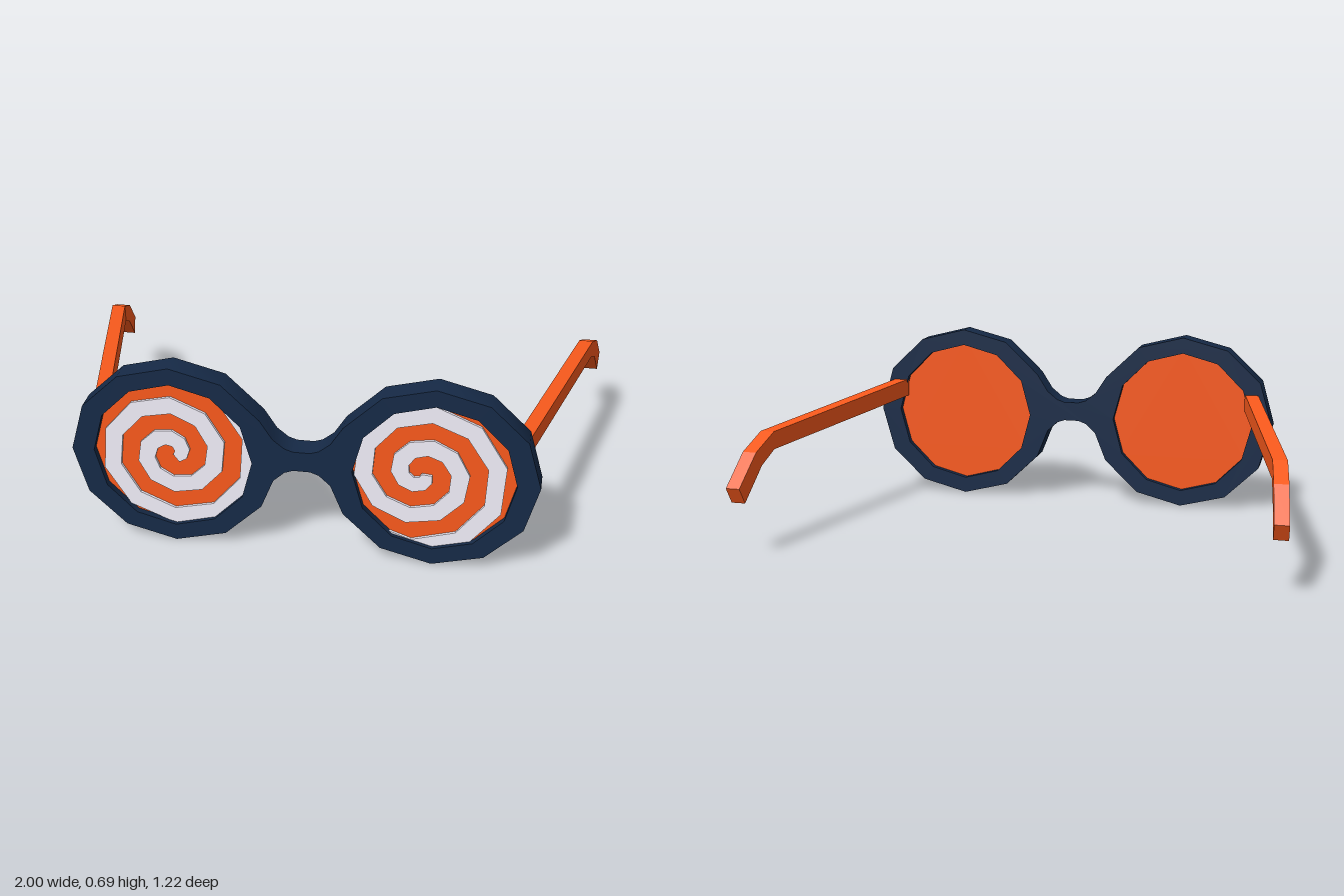
import * as THREE from 'three';
import { toCreasedNormals } from 'three/addons/utils/BufferGeometryUtils.js';

const LENS = { x: 0.457, y: 0.347 };

// points of a 12-sided ring, from angle a0 going clockwise
function ring(cx, rx, ry, a0, count) {
  return Array.from({ length: count }, (_, i) => {
    const a = (a0 - i * 30) * Math.PI / 180;
    return new THREE.Vector2(cx + rx * Math.cos(a), LENS.y + ry * Math.sin(a));
  });
}

function extrude(shape, depth, z) {
  const g = new THREE.ExtrudeGeometry(shape, { depth, bevelEnabled: false });
  return g.translate(0, 0, z);
}

// both rims and the bridge as one plate with two holes
function frameGeometry() {
  const V = (x, y) => new THREE.Vector2(x, y);
  const half = [V(0.03, 0.408), V(0.06, 0.418), V(0.1, 0.45), ...ring(LENS.x, 0.361, 0.345, 150, 11),
    V(0.1, 0.285), V(0.06, 0.322), V(0.03, 0.333)];
  const other = half.map((p) => V(-p.x, p.y)).reverse();
  const shape = new THREE.Shape([...half, ...other]);
  for (const s of [1, -1]) {
    shape.holes.push(new THREE.Path(ring(s * LENS.x, 0.282, 0.282, 0, 12).reverse()));
  }
  return toCreasedNormals(extrude(shape, 0.085, 0.525), 0.7);
}

// flat spiral band that runs outward until it tucks into the rim
function spiralGeometry(lensX, cx, cy, start, dir, turns) {
  const inner = [], outer = [], perTurn = 10, w = 0.032;
  const from = -0.15, n = Math.round((turns - from) * perTurn);
  for (let i = 0; i <= n; i++) {
    const t = from + (turns - from) * i / n;
    const r = 0.027 + 0.131 * t;
    const a = start + dir * t * Math.PI * 2;
    for (const [list, rad] of [[inner, Math.max(r - w, 0.004)], [outer, r + w]]) {
      const p = new THREE.Vector2(cx + rad * Math.cos(a) - lensX, cy + rad * Math.sin(a) - LENS.y);
      p.clampLength(0, 0.315);
      list.push(p.add(new THREE.Vector2(lensX, LENS.y)));
    }
  }
  return extrude(new THREE.Shape([...inner, ...outer.reverse()]), 0.015, 0.58);
}

// side arm swept through four-cornered cross-sections
function armGeometry(side) {
  // z and y of the top edge, then of the bottom edge
  const stations = [
    [0.54, 0.473, 0.54, 0.404],
    [-0.375, 0.424, -0.375, 0.358],
    [-0.495, 0.37, -0.46, 0.315],
    [-0.61, 0.26, -0.577, 0.2],
  ];
  const innerX = (z) => z > -0.38
    ? THREE.MathUtils.mapLinear(z, 0.525, -0.38, 0.71, 0.914)
    : THREE.MathUtils.mapLinear(z, -0.38, -0.61, 0.914, 0.948);
  const sections = stations.map(([zt, yt, zb, yb]) => [
    [innerX(zt), yt, zt], [innerX(zt) + 0.052, yt, zt],
    [innerX(zb) + 0.052, yb, zb], [innerX(zb), yb, zb],
  ].map(([x, y, z]) => [side * x, y, z]));
  const pos = [];
  const quad = (a, b, c, d) => {
    const tris = side > 0 ? [a, b, c, a, c, d] : [a, c, b, a, d, c];
    tris.forEach((p) => pos.push(...p));
  };
  for (let i = 0; i < sections.length - 1; i++) {
    const p = sections[i], q = sections[i + 1];
    for (let k = 0; k < 4; k++) {
      const m = (k + 1) % 4;
      quad(p[k], p[m], q[m], q[k]);
    }
  }
  const f = sections[0], e = sections[sections.length - 1];
  quad(f[3], f[2], f[1], f[0]);
  quad(e[0], e[1], e[2], e[3]);
  const g = new THREE.BufferGeometry();
  g.setAttribute('position', new THREE.Float32BufferAttribute(pos, 3));
  g.computeVertexNormals();
  return g;
}

export function createModel() {
  const model = new THREE.Group();
  model.name = 'spiralGlasses';
  const [navy, orange, white] = [0x162a47, 0xfb5a1c, 0xf3f0fc]
    .map((color) => new THREE.MeshStandardMaterial({ color }));
  const add = (name, geometry, material) => {
    const mesh = new THREE.Mesh(geometry, material);
    mesh.name = name;
    model.add(mesh);
  };

  add('frame', frameGeometry(), navy);

  for (const [name, s] of [['left', 1], ['right', -1]]) {
    const lens = new THREE.Shape(ring(s * LENS.x, 0.3, 0.3, 0, 12));
    add(name + 'Lens', extrude(lens, 0.035, 0.55), orange);
    add(name + 'Arm', armGeometry(s), orange);
  }

  // the two spirals wind in opposite directions
  add('rightSpiral', spiralGeometry(-LENS.x, -0.46, 0.35, 0, 1, 2.15), white);
  add('leftSpiral', spiralGeometry(LENS.x, 0.41, 0.355, 5.25, -1, 2.2), white);
  return model;
}
